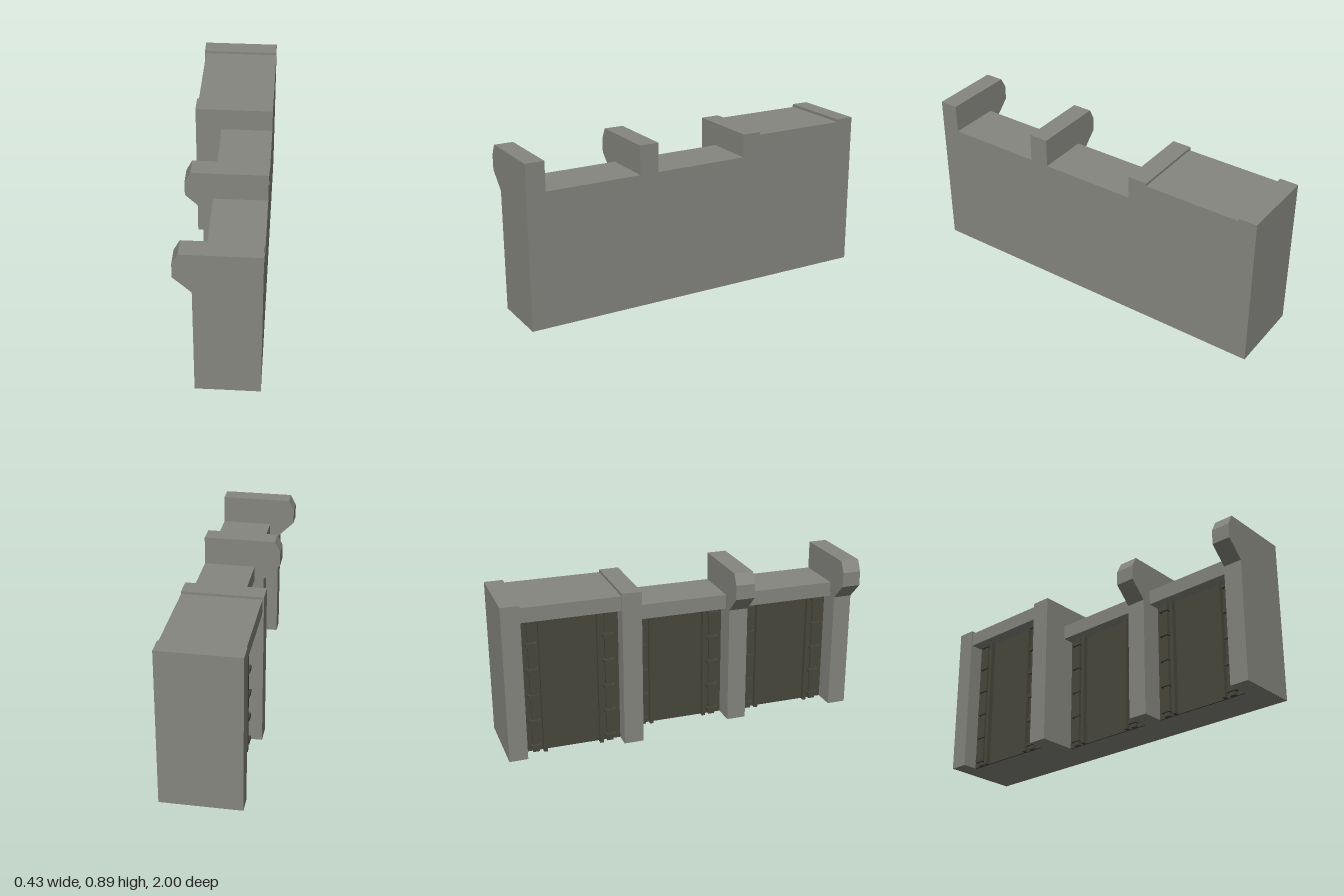
import * as THREE from 'three';

const BASE = 0.004;   // underside of the masonry
const BACK = 0.213;   // flat rear wall plane on +x

export function createModel() {
  const root = new THREE.Group();
  root.name = 'wallSection';
  const stone = new THREE.MeshStandardMaterial({ color: 0x868680 });
  stone.name = 'stone grey';
  const dark = new THREE.MeshStandardMaterial({ color: 0x48483d });
  dark.name = 'dark metal';

  // box given by its min and max on each axis
  const box = (name, mat, x0, x1, y0, y1, z0, z1, parent = root) => {
    const mesh = new THREE.Mesh(new THREE.BoxGeometry(x1 - x0, y1 - y0, z1 - z0), mat);
    mesh.position.set((x0 + x1) / 2, (y0 + y1) / 2, (z0 + z1) / 2);
    mesh.name = name;
    parent.add(mesh);
    return mesh;
  };

  // plain square pillars
  box('endPillar', stone, -BACK, BACK, BASE, 0.86, -1, -0.9);
  box('squarePillar', stone, -BACK, BACK, BASE, 0.86, -0.37, -0.263);

  // pillars with a chamfered, overhanging head
  const profile = new THREE.Shape([
    [-0.122, BASE], [BACK, BASE], [BACK, 0.89], [-0.182, 0.89],
    [-BACK, 0.83], [-BACK, 0.75], [-0.122, 0.66],
  ].map(([x, y]) => new THREE.Vector2(x, y)));
  for (const [z0, z1] of [[0.263, 0.37], [0.897, 1]]) {
    const geo = new THREE.ExtrudeGeometry(profile, { depth: z1 - z0, bevelEnabled: false });
    const pillar = new THREE.Mesh(geo, stone);
    pillar.position.z = z0;
    pillar.name = 'bracketPillar';
    root.add(pillar);
  }

  // recessed bays between the pillars
  const bays = [
    { z0: -0.9, z1: -0.37, wall: -0.12, lintel: -0.205, top: 0.845, under: 0.765, bottom: 0, bars: 6 },
    { z0: -0.263, z1: 0.263, wall: 0.005, lintel: -0.07, top: 0.733, under: 0.652, bottom: BASE, bars: 5 },
    { z0: 0.37, z1: 0.897, wall: 0.005, lintel: -0.07, top: 0.733, under: 0.652, bottom: BASE, bars: 5 },
  ];
  for (const b of bays) {
    const bay = new THREE.Group();
    bay.name = 'bay';
    root.add(bay);
    const mid = (b.z0 + b.z1) / 2;
    const w = b.wall;
    box('bayWall', stone, w, BACK, BASE, b.under, b.z0, b.z1, bay);
    box('lintel', stone, b.lintel, BACK, b.under, b.top, b.z0, b.z1, bay);
    box('darkPanel', dark, w - 0.008, w, BASE, b.under, b.z0, b.z1, bay);

    for (const s of [-1, 1]) {
      // vertical strip between two offsets from the bay centre
      const strip = (name, a, c, depth, y0, y1) => box(name, dark, w - depth, w - 0.004, y0, y1,
        mid + Math.min(s * a, s * c), mid + Math.max(s * a, s * c), bay);
      strip('innerRail', 0.145, 0.165, 0.034, b.bottom, b.under);
      strip('outerRail', 0.187, 0.222, 0.026, BASE, b.under);
      for (let i = 0; i < b.bars; i++) {
        const y = 0.035 + i * 0.1455;
        strip('clamp', 0.178, 0.234, 0.037, y - 0.011, y + 0.011);
      }
    }
  }
  return root;
}
